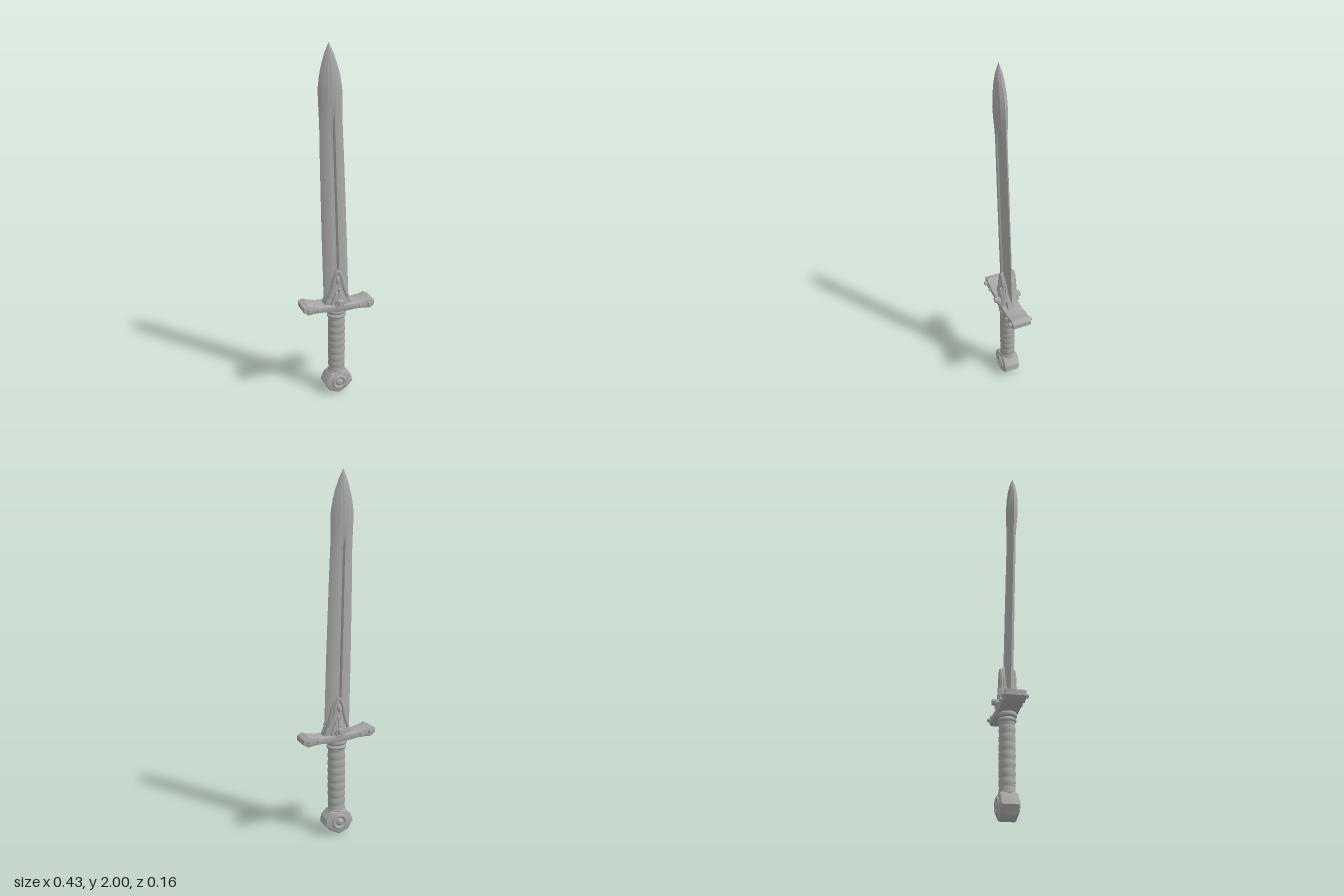
import * as THREE from 'three';
import { toCreasedNormals } from 'three/addons/utils/BufferGeometryUtils.js';

export function createModel() {
  const model = new THREE.Group();
  const stone = new THREE.MeshStandardMaterial({ color: 0xa8a8a8 });
  stone.name = 'grey metal';

  const add = (name, geo, x = 0, y = 0, z = 0) => {
    const mesh = new THREE.Mesh(geo, stone);
    mesh.name = name;
    mesh.position.set(x, y, z);
    model.add(mesh);
    return mesh;
  };

  // Bevelled plate in the xy plane, centred on z = 0
  const plate = (points, halfDepth, bevel) => {
    const geo = new THREE.ExtrudeGeometry(new THREE.Shape(points), {
      depth: 2 * (halfDepth - bevel), bevelEnabled: true, bevelSegments: 2,
      bevelSize: bevel, bevelThickness: bevel, bevelOffset: -bevel,
    });
    geo.translate(0, 0, bevel - halfDepth);
    return toCreasedNormals(geo, 0.6);
  };
  const v2 = (list) => list.map(([x, y]) => new THREE.Vector2(x, y));

  // Blade: fullered cross-sections [y, half width, half thickness, middle height], leaning a little
  const stations = [
    [0.58, 0.075, 0.022, 0.4], [1.0, 0.073, 0.022, 0.4], [1.4, 0.068, 0.022, 0.4],
    [1.6, 0.064, 0.022, 0.45], [1.66, 0.065, 0.025, 0.95], [1.72, 0.066, 0.029, 1.08],
    [1.78, 0.066, 0.031, 1.08], [1.84, 0.057, 0.029, 1.1], [1.9, 0.042, 0.024, 1.1],
    [1.95, 0.025, 0.016, 1.1], [2.0, 0.001, 0.001, 1],
  ];
  const pos = [], index = [];
  for (const [y, w, t, mid] of stations) {
    const cx = -0.002 - 0.0335 * (y - 0.58), cz = 0.002 + 0.0145 * (y - 0.58);
    const side = [[1, 0], [0.75, 0.6], [0.34, 1], [0.2, 1], [0.09, mid],
      [-0.09, mid], [-0.2, 1], [-0.34, 1], [-0.75, 0.6]];
    for (const s of [1, -1]) {
      for (const [u, h] of side) pos.push(cx + s * u * w, y, cz - s * h * t);
    }
  }
  const n = 18;
  for (let r = 0; r < stations.length - 1; r++) {
    for (let i = 0; i < n; i++) {
      const a = r * n + i, b = r * n + (i + 1) % n;
      index.push(a, b, b + n, a, b + n, a + n);
    }
  }
  const bladeGeo = new THREE.BufferGeometry();
  bladeGeo.setAttribute('position', new THREE.Float32BufferAttribute(pos, 3));
  bladeGeo.setIndex(index);
  add('blade', toCreasedNormals(bladeGeo, 0.4));

  // Crossguard: gently curved bar with flared ends
  const guardY = (x) => 0.56 - 0.06 * x + 0.3 * x * x;
  const guardProfile = [[-0.213, 0.014], [-0.185, 0.03], [-0.155, 0.022], [-0.11, 0.017],
    [-0.05, 0.019], [0, 0.022], [0.05, 0.019], [0.11, 0.017], [0.155, 0.022],
    [0.185, 0.03], [0.213, 0.014]];
  const lower = guardProfile.map(([x, h]) => [x, guardY(x) - h]);
  const upper = guardProfile.map(([x, h]) => [x, guardY(x) + h]).reverse();
  add('crossguard', plate(v2([...lower, ...upper]), 0.055, 0.006));

  // Collar block where the blade meets the guard
  add('bladeSocket', plate(v2([[-0.088, 0.565], [0.088, 0.565], [0.07, 0.61], [0.054, 0.66],
    [0.04, 0.72], [0.022, 0.765], [-0.006, 0.795], [-0.028, 0.765], [-0.042, 0.72],
    [-0.054, 0.66], [-0.07, 0.61]]), 0.031, 0.008));
  add('socketBase', plate(v2([[-0.055, 0.565], [0.055, 0.565], [0.035, 0.62],
    [0.018, 0.655], [-0.018, 0.655], [-0.035, 0.62]]), 0.047, 0.01));

  // Raised details on both faces
  const archCurve = new THREE.CatmullRomCurve3([[-0.055, 0.62], [-0.035, 0.68], [-0.024, 0.74],
    [-0.004, 0.782], [0.018, 0.74], [0.032, 0.68], [0.055, 0.62]]
    .map(([x, y]) => new THREE.Vector3(x, y, 0)));
  for (const s of [1, -1]) {
    const face = s > 0 ? 'front' : 'back';
    const stud = (name, x, y, r, tip) => {
      const geo = new THREE.CylinderGeometry(r * 0.75, r, 0.03, 8);
      geo.rotateX(s * Math.PI / 2);
      add(face + name, toCreasedNormals(geo, 0.5), x, y, s * (tip - 0.015));
    };
    for (const m of [-1, 1]) {
      stud('EndStud', m * 0.18, guardY(m * 0.18), 0.014, 0.07);
      stud('ArmStud', m * 0.125, guardY(m * 0.125), 0.011, 0.064);
    }
    stud('CentreBoss', 0, 0.6, 0.021, 0.08);
    stud('CentreBossBase', 0, 0.59, 0.034, 0.062);

    add(face + 'Arch', new THREE.TubeGeometry(archCurve, 28, 0.01, 6), 0, 0, s * 0.034);
    const drop = add(face + 'Drop', new THREE.SphereGeometry(0.012, 12, 8), -0.003, 0.725, s * 0.031);
    drop.scale.set(1, 2, 1);
    add(face + 'Rib', new THREE.CylinderGeometry(0.008, 0.011, 0.07, 8), 0.003, 0.645, s * 0.042);

    // Ring and bead on the pommel
    add(face + 'PommelRing', new THREE.TorusGeometry(0.036, 0.011, 8, 24), 0, 0.075, s * 0.047);
    const bead = add(face + 'PommelBead', new THREE.SphereGeometry(0.021, 16, 10), 0, 0.075, s * 0.046);
    bead.scale.z = 0.7;
  }

  // Wrapped grip with shallow ridges
  const gripPoints = [];
  for (let i = 0; i <= 72; i++) {
    const t = i / 72;
    const r = 0.046 + 0.003 * Math.abs(Math.sin(t * Math.PI * 9)) + 0.002 * Math.sin(t * Math.PI);
    gripPoints.push(new THREE.Vector2(r, 0.12 + 0.4 * t));
  }
  add('grip', new THREE.LatheGeometry(gripPoints, 28)).scale.z = 0.85;

  // Rounded rings at both ends of the grip
  for (const [name, y, r, h] of [['upperCollar', 0.53, 0.06, 0.013], ['lowerCollar', 0.502, 0.056, 0.01],
    ['pommelCollar', 0.135, 0.052, 0.012]]) {
    const pts = v2([[0.03, y - h], [r - 0.006, y - h], [r, y - h * 0.4], [r, y + h * 0.4],
      [r - 0.006, y + h], [0.03, y + h]]);
    add(name, toCreasedNormals(new THREE.LatheGeometry(pts, 28), 0.6)).scale.z = 0.85;
  }

  // Pommel: faceted, slightly lopsided block
  add('pommel', plate(v2([[0, 0], [0.052, 0.027], [0.085, 0.062], [0.079, 0.1], [0.045, 0.135],
    [-0.045, 0.135], [-0.07, 0.11], [-0.085, 0.07], [-0.055, 0.022]]), 0.048, 0.013));

  return model;
}
